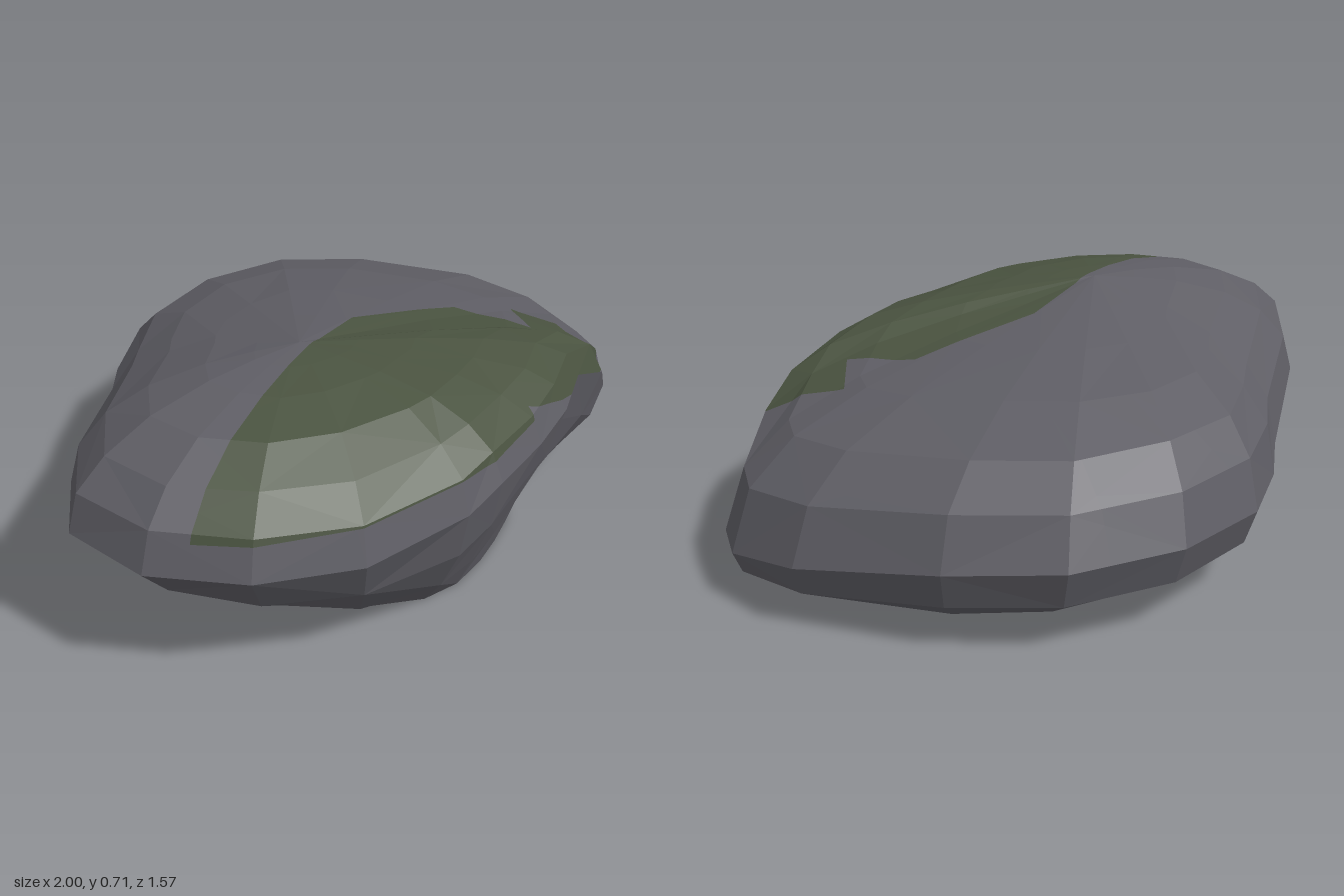
import * as THREE from 'three';

// Widest outline of the boulder, clockwise from above:
// x, z, height, roundness of the side below, then x, z of the flat base under it
const RIM = [
  [-1, 0.23, 0.41, 0.05, -0.58, 0.15], [-0.87, -0.02, 0.38, 0.15, -0.55, -0.03],
  [-0.6, -0.34, 0.29, 0.45, -0.47, -0.18], [-0.51, -0.47, 0.26, 0.55, -0.39, -0.24],
  [-0.32, -0.67, 0.27, 0.7, -0.2, -0.32], [-0.02, -0.79, 0.28, 0.75, 0, -0.37],
  [0.32, -0.78, 0.28, 0.75, 0.22, -0.37], [0.6, -0.61, 0.26, 0.8, 0.4, -0.28],
  [0.9, -0.3, 0.2, 0.9, 0.58, -0.1], [1, -0.05, 0.15, 0.9, 0.65, 0.05],
  [0.98, 0.1, 0.15, 0.9, 0.63, 0.13], [0.83, 0.32, 0.26, 0.7, 0.5, 0.25],
  [0.73, 0.4, 0.38, 0.4, 0.42, 0.34], [0.53, 0.49, 0.48, 0.1, 0.34, 0.43],
  [0.38, 0.6, 0.47, 0.1, 0.24, 0.49], [0.21, 0.68, 0.46, 0.1, 0.14, 0.54],
  [0, 0.76, 0.46, 0.3, 0.02, 0.58], [-0.13, 0.78, 0.42, 0.4, -0.1, 0.58],
  [-0.46, 0.78, 0.4, 0.3, -0.28, 0.5], [-0.73, 0.67, 0.4, 0.2, -0.43, 0.38],
  [-0.93, 0.48, 0.4, 0.1, -0.53, 0.27],
];
const PEAK = new THREE.Vector3(-0.26, 0.715, 0.2);
// Dome rings: fraction of the way to the peak, rise at the full front left, rise at the sloping back right
const DOME = [[0.05, 0.35, 0.32], [0.17, 0.62, 0.53], [0.36, 0.83, 0.69], [0.6, 0.95, 0.82], [0.8, 0.99, 0.91]];

// Moss patches: convex regions, each kept where ax + by + cz + d > 0
const MOSS = [
  [[0.44, 0, 0.8, -0.072], [0, 0, 1, -0.09], [-1, 0, 0, 0.2], [-0.04, 1, 0, -0.52]],
  [[1, 0, 0, -0.2], [0, 0, 1, -0.09], [-0.16, 0, 0.13, 0.05], [0.35, 1, 0, -0.63]],
  [[0.16, 0, -0.13, -0.05], [0.15, 0, 0.06, -0.0966], [-0.16, 0, 0.15, 0.0795], [0, 1, 0, -0.39]],
];

// Split a convex polygon by a plane into [inside, outside]
function split(poly, [a, b, c, d]) {
  const inside = [], outside = [];
  const side = (p) => a * p.x + b * p.y + c * p.z + d;
  poly.forEach((p, i) => {
    const q = poly[(i + 1) % poly.length], sp = side(p), sq = side(q);
    (sp > 0 ? inside : outside).push(p);
    if ((sp > 0) !== (sq > 0)) {
      const m = p.clone().lerp(q, sp / (sp - sq));
      inside.push(m);
      outside.push(m);
    }
  });
  return [inside, outside];
}

// Flat-faced mesh from convex polygons
function facetMesh(name, polys, material) {
  const pos = [];
  for (const p of polys) {
    for (let i = 1; i + 1 < p.length; i++) {
      for (const v of [p[0], p[i], p[i + 1]]) pos.push(v.x, v.y, v.z);
    }
  }
  const geometry = new THREE.BufferGeometry();
  geometry.setAttribute('position', new THREE.Float32BufferAttribute(pos, 3));
  geometry.computeVertexNormals();
  const mesh = new THREE.Mesh(geometry, material);
  mesh.name = name;
  return mesh;
}

export function createModel() {
  const stone = new THREE.MeshStandardMaterial({ color: 0x5f5e65 });
  stone.name = 'grey stone';
  const moss = new THREE.MeshStandardMaterial({ color: 0x4a5340 });
  moss.name = 'dark moss';

  let seed = 7;
  const jitter = (amount) => {
    seed = (seed * 16807) % 2147483647;
    return (seed / 2147483647 - 0.5) * amount;
  };

  // Rings from the flat base, over the rim, up the dome
  const n = RIM.length;
  const rim = RIM.map(([x, z, y]) => new THREE.Vector3(x, y, z));
  const base = RIM.map((r) => new THREE.Vector3(r[4], 0, r[5]));
  const under = (start, gain, rise, droop) => RIM.map((r, i) => {
    const p = base[i].clone().lerp(rim[i], start + gain * r[3] + jitter(0.04));
    p.y = rim[i].y * (rise - droop * r[3]) + jitter(0.015);
    return p;
  });
  // The dome is fuller towards the front left and slopes off towards the back right
  const dome = DOME.map(([s, full, sloped]) => rim.map((r) => {
    const p = r.clone().lerp(PEAK, s + jitter(0.015));
    const dx = r.x - PEAK.x, dz = r.z - PEAK.z;
    const slope = THREE.MathUtils.clamp(0.5 + 0.5 * (dx - dz) / Math.hypot(dx, dz), 0, 1);
    const rise = THREE.MathUtils.lerp(full, sloped, slope);
    p.y = r.y + (PEAK.y - r.y) * rise + jitter(0.01 * (1 - s));
    return p;
  }));
  const rings = [base, under(0.22, 0.45, 0.28, 0.06), under(0.72, 0.22, 0.7, 0.18), rim, ...dome];

  // Stitch the rings with alternating diagonals
  const lower = [], upper = [];
  for (let j = 0; j + 1 < rings.length; j++) {
    const out = j < 3 ? lower : upper;
    for (let i = 0; i < n; i++) {
      const k = (i + 1) % n;
      const a = rings[j][i], b = rings[j][k], c = rings[j + 1][k], d = rings[j + 1][i];
      if ((i + j) % 2) out.push([a, d, b], [b, d, c]);
      else out.push([a, d, c], [a, c, b]);
    }
  }
  const last = rings[rings.length - 1];
  const floor = new THREE.Vector3(0.03, 0, 0.1);
  for (let i = 0; i < n; i++) {
    const k = (i + 1) % n;
    upper.push([last[i], PEAK, last[k]]);
    lower.push([floor, base[i], base[k]]);
  }

  // Cut the moss patches out of the upper faces
  let bare = upper;
  const mossy = [];
  for (const region of MOSS) {
    const rest = [];
    for (const face of bare) {
      let piece = face;
      for (const plane of region) {
        const [inside, outside] = split(piece, plane);
        if (outside.length > 2) rest.push(outside);
        piece = inside;
        if (piece.length < 3) break;
      }
      if (piece.length > 2) mossy.push(piece);
    }
    bare = rest;
  }

  const group = new THREE.Group();
  group.name = 'mossyBoulder';
  group.add(
    facetMesh('boulderUnderside', lower, stone),
    facetMesh('boulderTop', bare, stone),
    facetMesh('mossPatch', mossy, moss),
  );
  return group;
}
